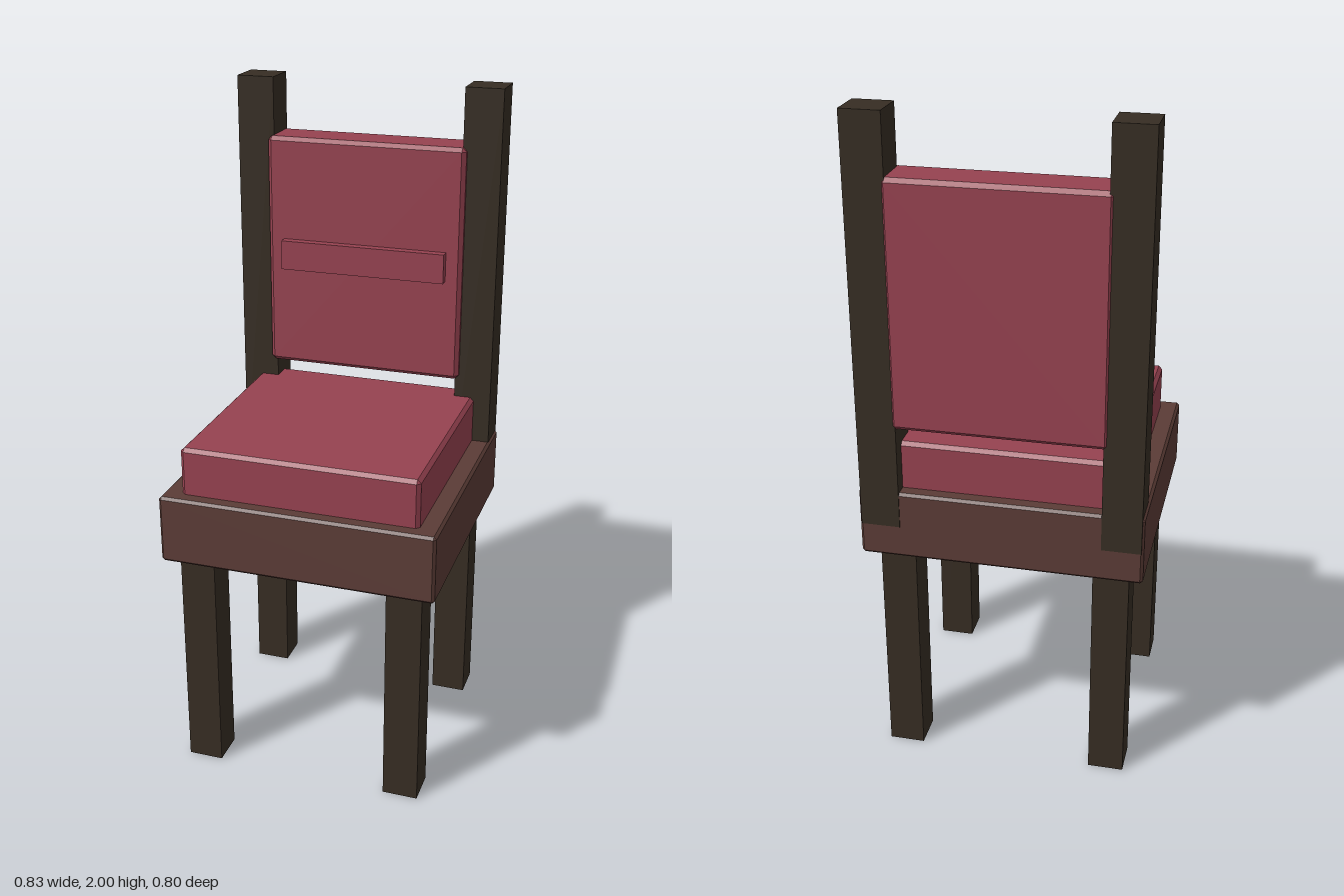
import * as THREE from 'three';
import { ConvexGeometry } from 'three/addons/geometries/ConvexGeometry.js';

// Box with flat chamfers of size c on every edge
function chamferBox(w, h, d, c) {
  const points = [];
  for (const sx of [-1, 1]) for (const sy of [-1, 1]) for (const sz of [-1, 1]) {
    const x = w / 2, y = h / 2, z = d / 2;
    points.push(
      new THREE.Vector3(sx * x, sy * (y - c), sz * (z - c)),
      new THREE.Vector3(sx * (x - c), sy * y, sz * (z - c)),
      new THREE.Vector3(sx * (x - c), sy * (y - c), sz * z));
  }
  return new ConvexGeometry(points);
}

export function createModel() {
  const model = new THREE.Group();
  model.name = 'chair';

  const material = (name, color) => {
    const m = new THREE.MeshStandardMaterial({ color });
    m.name = name;
    return m;
  };
  const darkWood = material('darkWood', 0x362d23);
  const frameWood = material('frameWood', 0x5b3c36);
  const fabric = material('redFabric', 0x964250);

  // Adds a block from its lower and upper corners
  const block = (name, mat, [x0, y0, z0], [x1, y1, z1], chamfer) => {
    const w = x1 - x0, h = y1 - y0, d = z1 - z0;
    const geometry = chamfer ? chamferBox(w, h, d, chamfer) : new THREE.BoxGeometry(w, h, d);
    const mesh = new THREE.Mesh(geometry, mat);
    mesh.name = name;
    mesh.position.set((x0 + x1) / 2, (y0 + y1) / 2, (z0 + z1) / 2);
    model.add(mesh);
  };

  // Seat frame and cushion
  block('seatFrame', frameWood, [-0.413, 0.7, -0.394], [0.413, 0.908, 0.398], 0.008);
  block('seatCushion', fabric, [-0.357, 0.89, -0.353], [0.355, 1.052, 0.357], 0.011);

  // Legs and back posts, one of each pair per side
  for (const [side, s] of [['left', 1], ['right', -1]]) {
    const x = s * 0.316, half = 0.053;
    block(side + 'FrontLeg', darkWood, [x - half, 0, 0.253], [x + half, 0.72, 0.358]);
    block(side + 'BackLeg', darkWood, [x - half, 0, -0.349], [x + half, 0.72, -0.244]);
    const px = s * 0.35, ph = 0.057;
    block(side + 'BackPost', darkWood, [px - ph, 0.8, -0.397], [px + ph, 2, -0.283]);
  }

  // Padded backrest with a raised bar across the front
  block('backrest', fabric, [-0.308, 1.112, -0.402], [0.306, 1.828, -0.262], 0.012);
  block('backrestBar', fabric, [-0.257, 1.425, -0.29], [0.257, 1.515, -0.234]);

  return model;
}
